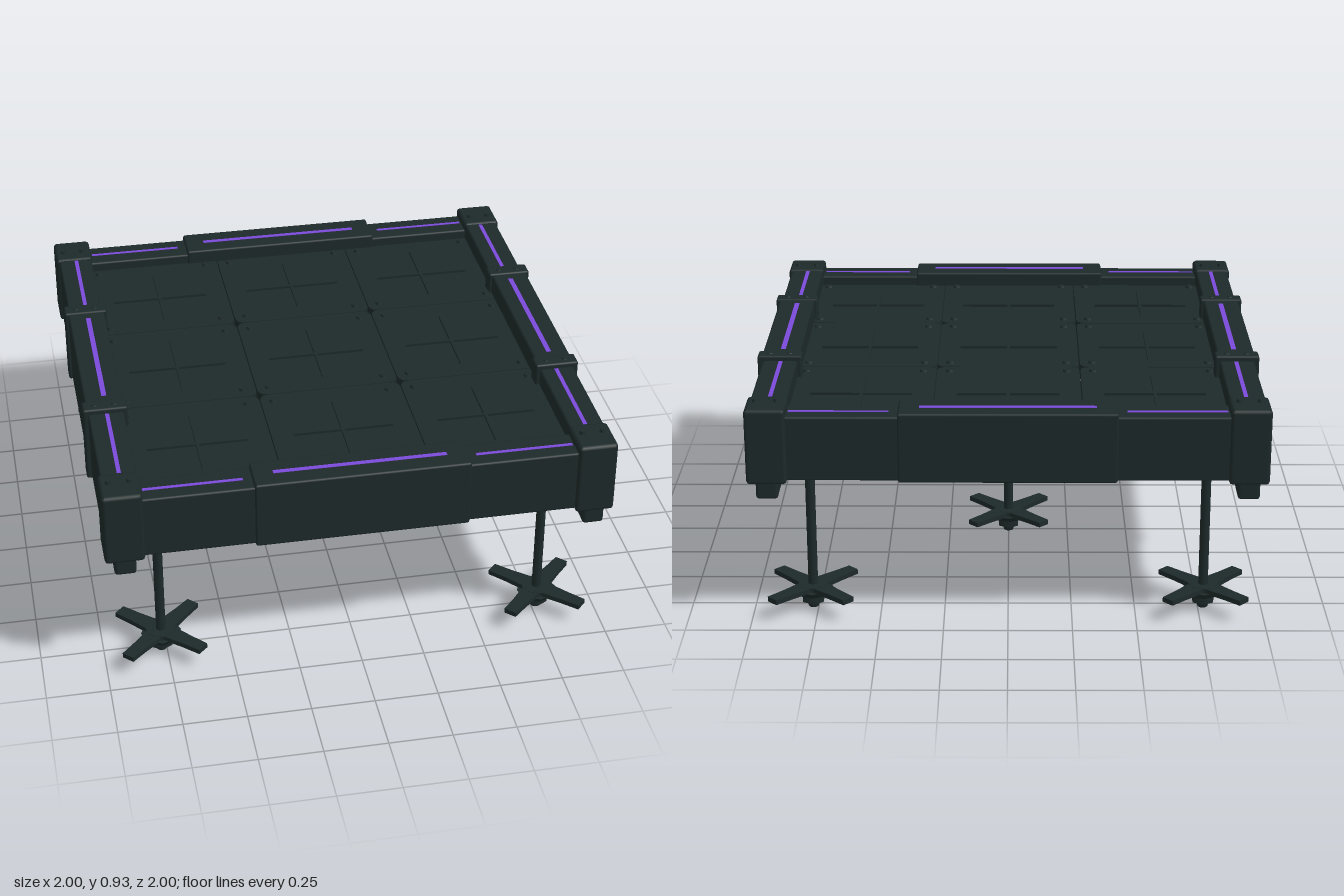
import * as THREE from 'three';
import { RoundedBoxGeometry } from 'three/addons/geometries/RoundedBoxGeometry.js';

const darkMetal = new THREE.MeshStandardMaterial({ color: 0x1d2929 });
darkMetal.name = 'darkMetal';
const purpleGlow = new THREE.MeshStandardMaterial({ color: 0x7a4ada });
purpleGlow.name = 'purpleGlow';

function add(parent, name, geometry, material = darkMetal) {
  const mesh = new THREE.Mesh(geometry, material);
  mesh.name = name;
  parent.add(mesh);
  return mesh;
}

// Box given by its min and max corners, with small bevels when r > 0
function block(parent, name, x0, x1, y0, y1, z0, z1, r = 0.008, material = darkMetal) {
  const w = x1 - x0, h = y1 - y0, d = z1 - z0;
  const geometry = r ? new RoundedBoxGeometry(w, h, d, 1, r) : new THREE.BoxGeometry(w, h, d);
  const mesh = add(parent, name, geometry, material);
  mesh.position.set((x0 + x1) / 2, (y0 + y1) / 2, (z0 + z1) / 2);
  return mesh;
}

function cylinder(parent, name, rTop, rBottom, y0, y1, x, z, sides = 12) {
  const mesh = add(parent, name, new THREE.CylinderGeometry(rTop, rBottom, y1 - y0, sides));
  mesh.position.set(x, (y0 + y1) / 2, z);
  return mesh;
}

// Square outline with a separate radius for each corner
function squarePath(path, h, tr, br, bl, tl) {
  path.moveTo(-h + tl, h);
  path.lineTo(h - tr, h);
  path.quadraticCurveTo(h, h, h, h - tr);
  path.lineTo(h, -h + br);
  path.quadraticCurveTo(h, -h, h - br, -h);
  path.lineTo(-h + bl, -h);
  path.quadraticCurveTo(-h, -h, -h, -h + bl);
  path.lineTo(-h, h - tl);
  path.quadraticCurveTo(-h, h, -h + tl, h);
  return path;
}

function slab(shape, depth) {
  return new THREE.ExtrudeGeometry(shape, { depth, bevelEnabled: false, curveSegments: 5 }).rotateX(-Math.PI / 2);
}

// Floor tile: plate with a sunken inset, a raised cross and four bolts
function floorPanel(x, z) {
  const panel = new THREE.Group();
  panel.name = 'floorPanel';
  panel.position.set(x, 0, z);
  const outline = () => squarePath(new THREE.Shape(), 0.2855, 0.04, 0.04, 0.04, 0.04);
  const rim = outline();
  rim.holes.push(squarePath(new THREE.Path(), 0.2, 0.07, 0.02, 0.07, 0.02));
  add(panel, 'panelRim', slab(rim, 0.016)).position.y = 0.817;
  add(panel, 'panelBase', slab(outline(), 0.047)).position.y = 0.77;
  block(panel, 'insetRib', -0.2, 0.2, 0.812, 0.827, -0.006, 0.006, 0);
  block(panel, 'insetRib', -0.006, 0.006, 0.812, 0.827, -0.2, 0.2, 0);
  for (const sx of [-1, 1]) for (const sz of [-1, 1]) {
    cylinder(panel, 'panelBolt', 0.014, 0.018, 0.83, 0.842, sx * 0.235, sz * 0.235, 10);
  }
  return panel;
}

// Support: pole on a four-armed foot with a stepped screw below
function support(x, z) {
  const leg = new THREE.Group();
  leg.name = 'supportLeg';
  leg.position.set(x, 0, z);
  cylinder(leg, 'pole', 0.019, 0.019, 0.08, 0.78, 0, 0, 12);
  cylinder(leg, 'footHub', 0.06, 0.06, 0.079, 0.098, 0, 0, 8);
  cylinder(leg, 'footFlange', 0.08, 0.065, 0.058, 0.08, 0, 0, 8);
  cylinder(leg, 'footNut', 0.047, 0.047, 0.024, 0.06, 0, 0, 6);
  cylinder(leg, 'footTip', 0.028, 0.02, 0, 0.026, 0, 0, 10);
  const arm = new THREE.Shape([[0, -0.04], [0.13, -0.029], [0.21, -0.026], [0.21, 0.026], [0.13, 0.029], [0, 0.04]]
    .map(([a, b]) => new THREE.Vector2(a, b)));
  for (let i = 0; i < 4; i++) {
    const mesh = add(leg, 'footArm', slab(arm, 0.02));
    mesh.position.y = 0.077;
    mesh.rotation.y = Math.PI / 4 + i * Math.PI / 2;
  }
  return leg;
}

export function createModel() {
  const model = new THREE.Group();
  model.name = 'raisedPlatform';

  // Three by three floor
  for (let i = -1; i <= 1; i++) for (let j = -1; j <= 1; j++) {
    model.add(floorPanel(i * 0.575, j * 0.575));
  }

  // Front and back rails with light strips
  for (const s of [1, -1]) {
    const side = new THREE.Group();
    side.name = s > 0 ? 'frontRail' : 'backRail';
    side.rotation.y = s > 0 ? 0 : Math.PI;
    model.add(side);
    block(side, 'rail', -0.86, 0.86, 0.617, 0.873, 0.842, 0.984);
    block(side, 'railSleeve', -0.415, 0.415, 0.613, 0.891, 0.836, 0.998);
    block(side, 'centerLight', -0.335, 0.335, 0.886, 0.8925, 0.906, 0.926, 0, purpleGlow);
    for (const [a, b] of [[-0.83, -0.45], [0.45, 0.83]]) {
      block(side, 'endLight', a, b, 0.868, 0.8745, 0.909, 0.924, 0, purpleGlow);
    }
  }

  // Left and right rails with collars
  for (const s of [1, -1]) {
    const side = new THREE.Group();
    side.name = s > 0 ? 'leftRail' : 'rightRail';
    side.rotation.y = s > 0 ? 0 : Math.PI;
    model.add(side);
    block(side, 'rail', 0.84, 0.978, 0.612, 0.9, -0.86, 0.86);
    block(side, 'railSleeve', 0.835, 0.984, 0.608, 0.914, -0.36, 0.36);
    block(side, 'centerLight', 0.895, 0.915, 0.909, 0.9155, -0.305, 0.305, 0, purpleGlow);
    for (const t of [1, -1]) {
      const z = t * 0.378;
      block(side, 'collar', 0.823, 0.998, 0.603, 0.921, z - 0.035, z + 0.035);
      for (const x of [0.872, 0.95]) cylinder(side, 'collarBolt', 0.01, 0.013, 0.919, 0.925, x, z, 10);
      block(side, 'endLight', 0.897, 0.913, 0.895, 0.9015, Math.min(t * 0.415, t * 0.83),
        Math.max(t * 0.415, t * 0.83), 0, purpleGlow);
    }
  }

  // Corner posts, their lower brackets and bolts
  for (const sx of [-1, 1]) for (const sz of [-1, 1]) {
    const corner = new THREE.Group();
    corner.name = 'cornerPost';
    corner.position.set(sx * 0.913, 0, sz * 0.917);
    model.add(corner);
    block(corner, 'post', -0.077, 0.077, 0.605, 0.906, -0.083, 0.083, 0.014);
    const c = -sz * 0.055;
    block(corner, 'lowerBracket', -0.042, 0.042, 0.543, 0.625, c - 0.129, c + 0.129, 0.012);
    for (const x of [-0.04, 0.04]) cylinder(corner, 'postBolt', 0.01, 0.013, 0.903, 0.918, x, -sz * 0.018, 10);
  }

  // Five supports: the corners and the middle
  for (const [x, z] of [[0, 0], [1, 1], [1, -1], [-1, 1], [-1, -1]]) {
    model.add(support(x * 0.77, z * 0.77));
  }
  return model;
}
